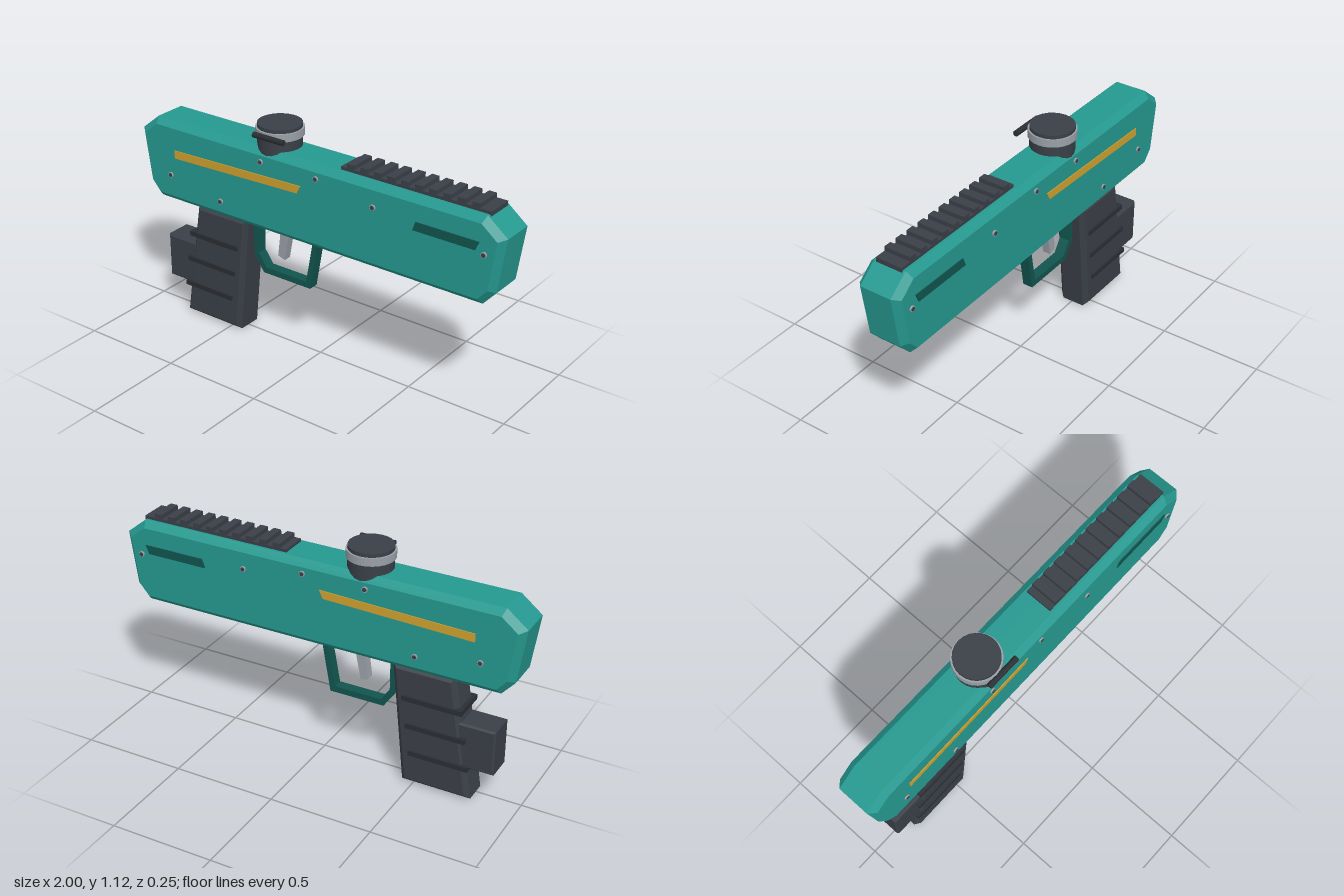
import * as THREE from 'three';

const ZC = -0.007; // mid-plane of the body

const mat = (name, color) => {
  const m = new THREE.MeshStandardMaterial({ color });
  m.name = name;
  return m;
};

const toShape = (pts) => new THREE.Shape(pts.map(([x, y]) => new THREE.Vector2(x, y)));

// Side outline extruded across z, centred on zc, with an optional chamfer kept inside the outline
function slab(pts, width, bevel = 0, zc = ZC, hole = null) {
  const shape = toShape(pts);
  if (hole) shape.holes.push(toShape(hole));
  const geo = new THREE.ExtrudeGeometry(shape, {
    depth: width - 2 * bevel,
    bevelEnabled: bevel > 0,
    bevelThickness: bevel,
    bevelSize: bevel,
    bevelOffset: -bevel,
    bevelSegments: 1,
  });
  return geo.translate(0, 0, zc - width / 2 + bevel);
}

export function createModel() {
  const group = new THREE.Group();
  const teal = mat('teal shell', 0x259990);
  const darkTeal = mat('dark teal', 0x11544e);
  const charcoal = mat('charcoal', 0x3a3f47);
  const black = mat('rib black', 0x2a2d32);
  const grey = mat('metal grey', 0x9aa0a8);
  const gold = mat('gold stripe', 0xcfa02e);

  const add = (name, geo, material, parent = group) => {
    const mesh = new THREE.Mesh(geo, material);
    mesh.name = name;
    parent.add(mesh);
    return mesh;
  };
  const box = (name, w, h, d, x, y, z, material, parent) =>
    add(name, new THREE.BoxGeometry(w, h, d).translate(x, y, z), material, parent);

  // Main body
  add('body', slab([
    [-0.9, 0.6], [0.9, 0.6], [0.962, 0.67], [1, 0.93],
    [0.9, 1.01], [-0.9, 1.01], [-1, 0.93], [-0.962, 0.67],
  ], 0.216, 0.03), teal);

  // Raked grip with ribs running across it
  add('grip', slab([[-0.78, 0], [-0.44, 0], [-0.38, 0.605], [-0.685, 0.605]], 0.158, 0.022), charcoal);
  for (let i = 0; i < 3; i++) {
    box('gripRib', 0.29, 0.024, 0.174, -0.582 - i * 0.02, 0.445 - i * 0.14, ZC, black);
  }

  // Block behind the grip
  add('rearBlock', slab([[-0.885, 0.163], [-0.68, 0.163], [-0.68, 0.388], [-0.885, 0.388]], 0.14, 0.008), charcoal);

  // Trigger and its guard
  add('triggerGuard', slab(
    [[-0.32, 0.335], [-0.047, 0.335], [0, 0.605], [-0.38, 0.605], [-0.375, 0.415]],
    0.051, 0, ZC,
    [[-0.305, 0.365], [-0.35, 0.43], [-0.35, 0.57], [-0.033, 0.57], [-0.07, 0.365]],
  ), darkTeal);
  add('trigger', slab([[-0.2, 0.435], [-0.17, 0.59], [-0.22, 0.59], [-0.238, 0.448]], 0.04), grey);

  // Toothed top rail
  box('railBase', 0.755, 0.022, 0.132, 0.532, 1.013, ZC, charcoal);
  for (let i = 0; i < 10; i++) {
    box('railTooth', 0.038, 0.03, 0.132, 0.206 + i * 0.07, 1.03, ZC, charcoal);
  }

  // Round sight: barrel, metal ring, cap and side clip
  const sight = new THREE.Group();
  sight.name = 'sight';
  sight.position.set(-0.233, 0, ZC - 0.001);
  group.add(sight);
  const disc = (name, r, y0, y1, material) =>
    add(name, new THREE.CylinderGeometry(r, r, y1 - y0, 24).translate(0, (y0 + y1) / 2, 0), material, sight);
  disc('sightBarrel', 0.104, 0.96, 1.065, charcoal);
  disc('sightRing', 0.112, 1.06, 1.098, grey);
  disc('sightCap', 0.104, 1.09, 1.115, charcoal);
  add('sightClip', new THREE.CylinderGeometry(0.014, 0.014, 0.17, 8)
    .rotateZ(Math.PI / 2).translate(0.03, 1.08, 0.12), black, sight);

  // Details repeated on both sides
  const screws = [[-0.81, 0.74], [-0.505, 0.685], [-0.26, 0.95], [0.05, 0.95], [0.355, 0.9], [0.91, 0.845]];
  for (const side of [1, -1]) {
    const face = ZC + side * 0.108;
    add('stripe', slab([[-0.78, 0.832], [-0.055, 0.853], [-0.035, 0.892], [-0.78, 0.872]], 0.008, 0, face), gold);
    add('vent', slab([[0.56, 0.855], [0.867, 0.855], [0.885, 0.897], [0.575, 0.897]], 0.009, 0, face), darkTeal);
    for (const [x, y] of screws) {
      const pin = (name, r, len, material) =>
        add(name, new THREE.CylinderGeometry(r, r, len, 12).rotateX(Math.PI / 2).translate(x, y, face), material);
      pin('screwRim', 0.014, 0.014, grey);
      pin('screwHead', 0.01, 0.018, charcoal);
    }
  }

  return group;
}
